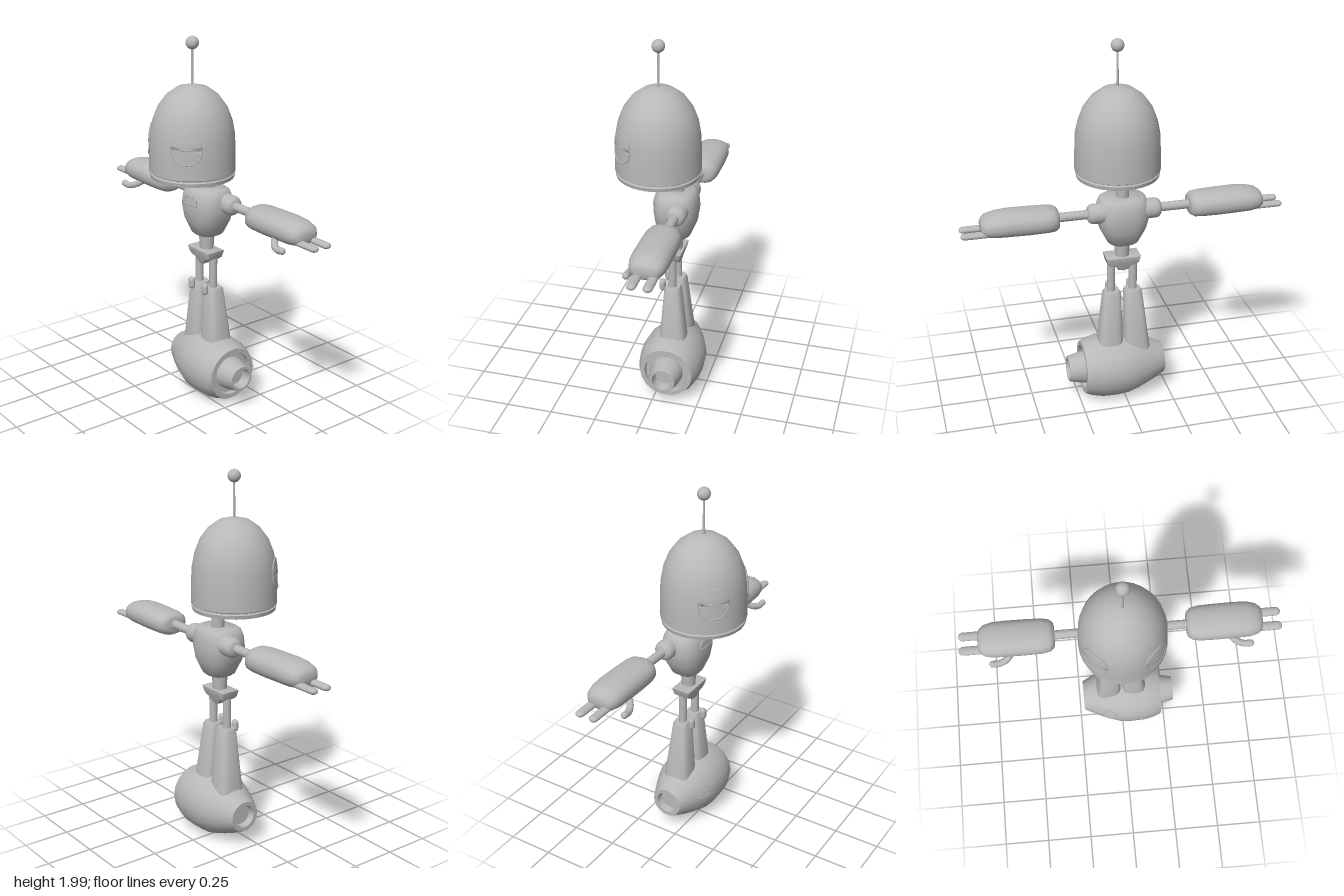
import * as THREE from 'three';
import { toCreasedNormals } from 'three/addons/utils/BufferGeometryUtils.js';

const V2 = (x, y) => new THREE.Vector2(x, y);
const V3 = (x, y, z) => new THREE.Vector3(x, y, z);

// linear lookup of a value along a list of rows; key and value are column indices
function lookup(rows, k, v, at) {
  for (let i = 1; i < rows.length; i++) {
    const a = rows[i - 1], b = rows[i];
    if (at >= a[k] && at <= b[k] && b[k] > a[k]) return a[v] + (b[v] - a[v]) * (at - a[k]) / (b[k] - a[k]);
  }
  return rows[rows.length - 1][v];
}

// indexed surface from a function and a grid of rows by columns
function meshFrom(pos, idx) {
  const g = new THREE.BufferGeometry();
  g.setAttribute('position', new THREE.Float32BufferAttribute(pos, 3));
  g.setIndex(idx);
  g.computeVertexNormals();
  return g;
}

// closed loft along y through superellipse sections [y, cx, cz, rx, rz]
function loft(sections, power = 2, n = 24) {
  const first = sections[0], last = sections[sections.length - 1];
  const rings = [[first[0], first[1], first[2], 0, 0], ...sections, [last[0], last[1], last[2], 0, 0]];
  const pos = [], idx = [];
  const bend = (v) => Math.sign(v) * Math.pow(Math.abs(v), 2 / power);
  rings.forEach(([y, cx, cz, rx, rz], j) => {
    for (let i = 0; i < n; i++) {
      const t = (i / n) * Math.PI * 2;
      pos.push(cx + rx * bend(Math.sin(t)), y, cz + rz * bend(Math.cos(t)));
      if (j === 0) continue;
      const a = (j - 1) * n + i, b = (j - 1) * n + (i + 1) % n;
      idx.push(a, b, a + n, b, b + n, a + n);
    }
  });
  return toCreasedNormals(meshFrom(pos, idx), 0.75);
}

// thin plate draped on a surface: rings shrinking from the outline to a centre
function patch(outline, centre, project) {
  const pos = [], idx = [], n = outline.length, steps = 4;
  for (let s = 0; s <= steps; s++) {
    outline.forEach((p, i) => {
      const q = centre.clone().lerp(p, s / steps);
      pos.push(...project(q.x, q.y).toArray());
      if (s === 0) return;
      const a = (s - 1) * n + i, b = (s - 1) * n + (i + 1) % n;
      idx.push(a, a + n, b, b, a + n, b + n);
    });
  }
  return meshFrom(pos, idx);
}

const rim = (outline, project, r) => new THREE.TubeGeometry(
  new THREE.CatmullRomCurve3(outline.map((p) => project(p.x, p.y)), true), 64, r, 6, true);

// polygon outline with extra points along each edge
function subdivide(corners) {
  return corners.flatMap((c, i) => [0, 0.25, 0.5, 0.75].map((t) =>
    V2(...c).lerp(V2(...corners[(i + 1) % corners.length]), t)));
}

export function createModel() {
  const model = new THREE.Group();
  model.name = 'robot';
  const grey = new THREE.MeshStandardMaterial({ color: 0xb8b8b8 });
  grey.name = 'grey';
  const add = (name, geo, x = 0, y = 0, z = 0) => {
    const m = new THREE.Mesh(geo, grey);
    m.name = name;
    m.position.set(x, y, z);
    model.add(m);
    return m;
  };
  const rod = (name, rTop, rBottom, y0, y1, x, z) =>
    add(name, new THREE.CylinderGeometry(rTop, rBottom, y1 - y0, 16), x, (y0 + y1) / 2, z);

  // head dome with a grooved lower band
  const headZ = 0.03;
  const head = [[0, 1.285], [0.19, 1.285], [0.2, 1.275], [0.218, 1.275], [0.222, 1.295], [0.216, 1.3],
    [0.216, 1.305], [0.225, 1.31], [0.224, 1.4], [0.219, 1.5], [0.206, 1.57], [0.179, 1.64],
    [0.135, 1.7], [0.08, 1.74], [0.03, 1.753], [0, 1.755]];
  add('head', toCreasedNormals(new THREE.LatheGeometry(head.map((p) => V2(...p)), 32), 0.6), 0, 0, headZ);

  // antenna
  rod('antennaRod', 0.005, 0.007, 1.74, 1.95, 0, headZ);
  add('antennaBall', new THREE.SphereGeometry(0.034, 20, 14), 0, 1.966, headZ);

  // eyes: rim, upper lid and lower half, wrapped around the head
  for (const s of [-1, 1]) {
    const onHead = (off) => (u, v) => {
      const r = lookup(head.slice(7), 1, 0, 1.47 + v) + off, a = s * Math.PI / 4 + u;
      return V3(r * Math.sin(a), 1.47 + v, headZ + r * Math.cos(a));
    };
    const arc = (from, to, n) => Array.from({ length: n + 1 }, (_, i) => {
      const t = from + (to - from) * i / n, c = Math.cos(t), k = Math.sin(t);
      return V2(0.35 * Math.sign(c) * Math.abs(c) ** 0.85, 0.078 * Math.sign(k) * Math.abs(k) ** 0.85);
    });
    add('eyeRim', rim(arc(0, Math.PI * 2, 32).slice(0, 32), onHead(0.002), 0.004));
    add('upperEyelid', patch(arc(0, Math.PI, 16), V2(0, 0), onHead(0.006)));
    add('lowerEye', patch(arc(Math.PI, Math.PI * 2, 16), V2(0, 0), onHead(0.003)));
    const line = [-0.34, -0.17, 0, 0.17, 0.34].map((u) => onHead(0.004)(u, 0));
    add('eyelidEdge', new THREE.TubeGeometry(new THREE.CatmullRomCurve3(line), 16, 0.004, 6));
  }

  // neck, torso and waist
  const bodyZ = -0.07;
  rod('neck', 0.034, 0.034, 1.18, 1.29, 0, -0.076);
  const torso = [[0.935, 0, bodyZ, 0.07, 0.066], [0.945, 0, bodyZ, 0.083, 0.077], [1.02, 0, bodyZ, 0.121, 0.108],
    [1.09, 0, bodyZ, 0.14, 0.117], [1.15, 0, bodyZ, 0.135, 0.111], [1.185, 0, bodyZ, 0.121, 0.098],
    [1.195, 0, bodyZ, 0.108, 0.085]];
  add('torso', loft(torso, 2.6, 32));
  rod('waist', 0.043, 0.036, 0.83, 0.945, 0, -0.065);

  // chest window
  const onChest = (off) => (x, y) => {
    const rx = lookup(torso, 0, 3, y), rz = lookup(torso, 0, 4, y);
    return V3(x, y, bodyZ + off + rz * (1 - Math.abs(x / rx) ** 2.6) ** (1 / 2.6));
  };
  const chest = subdivide([[-0.05, 1.115], [0.05, 1.115], [0.045, 1.145], [0.03, 1.155], [-0.03, 1.155], [-0.045, 1.145]]);
  add('chestWindow', patch(chest, V2(0, 1.135), onChest(0.003)));
  add('chestWindowRim', rim(chest, onChest(0.002), 0.004));

  // pelvis, narrowing in depth towards the bottom
  const pelvis = new THREE.ExtrudeGeometry(new THREE.Shape([[-0.084, 0.846], [-0.078, 0.82], [-0.066, 0.81],
    [-0.038, 0.805], [-0.022, 0.782], [0, 0.776], [0.022, 0.782], [0.038, 0.805], [0.066, 0.81],
    [0.078, 0.82], [0.084, 0.846]].map((p) => V2(...p))),
  { depth: 0.094, bevelThickness: 0.008, bevelSize: 0.008, bevelSegments: 2 });
  const pp = pelvis.attributes.position;
  for (let i = 0; i < pp.count; i++) {
    pp.setZ(i, (pp.getZ(i) - 0.047) * (0.62 + 0.38 * (pp.getY(i) - 0.768) / 0.086));
  }
  add('pelvis', toCreasedNormals(pelvis, 0.7), 0, 0, -0.06);

  for (const s of [-1, 1]) {
    // shoulder and arm, lofted along the arm
    const alongArm = (rows, power) => loft(rows.map(([x, dy, ry, rz]) => [x, -s * dy, 0, ry, rz]), power)
      .rotateZ(-s * Math.PI / 2);
    const armY = 1.125, armZ = -0.105;
    add('shoulder', alongArm([[0.1, 0, 0.053, 0.053], [0.165, 0, 0.053, 0.053], [0.18, 0, 0.049, 0.049],
      [0.19, 0, 0.04, 0.04], [0.195, 0, 0.028, 0.028]], 2), 0, armY, armZ);
    add('upperArm', new THREE.CylinderGeometry(0.024, 0.024, 0.22, 16).rotateZ(Math.PI / 2), s * 0.27, armY, armZ);
    add('forearm', alongArm([[0.345, 0, 0.038, 0.05], [0.35, 0, 0.05, 0.068], [0.37, 0, 0.061, 0.085],
      [0.41, 0.001, 0.064, 0.094], [0.5, 0.002, 0.066, 0.096], [0.6, 0.004, 0.066, 0.096], [0.67, 0.002, 0.062, 0.094],
      [0.715, 0, 0.053, 0.083], [0.737, -0.002, 0.04, 0.065], [0.745, -0.003, 0.025, 0.045]], 2.3), 0, armY, armZ);

    // two fingers and a curled thumb
    for (const z of [-0.148, -0.068]) {
      add('finger', new THREE.CapsuleGeometry(0.024, 0.13, 6, 14).rotateZ(Math.PI / 2).scale(1, 0.68, 1), s * 0.761, 1.094, z);
    }
    const thumb = [[0.57, 1.085, -0.05], [0.605, 1.06, -0.015], [0.645, 1.05, 0], [0.68, 1.055, 0.003]]
      .map(([x, y, z]) => V3(s * x, y, z));
    add('thumb', new THREE.TubeGeometry(new THREE.CatmullRomCurve3(thumb), 16, 0.018, 10));
    add('thumbTip', new THREE.SphereGeometry(0.018, 12, 10), s * 0.68, 1.055, 0.003);

    // leg: thigh rod, kneecap and tapered shin
    rod('thigh', 0.022, 0.022, 0.62, 0.83, s * 0.06, -0.063);
    add('kneecap', new THREE.CapsuleGeometry(0.021, 0.026, 6, 14).scale(1, 1, 0.8), s * 0.058, 0.642, -0.008);
    add('shin', loft([[0.24, s * 0.077, -0.078, 0.077, 0.085], [0.34, s * 0.072, -0.075, 0.069, 0.073],
      [0.63, s * 0.058, -0.067, 0.049, 0.045], [0.645, s * 0.058, -0.067, 0.042, 0.038]], 3.2));
  }

  // base pod lying along x, with a hole at one end and a hollow nozzle at the other
  const baseY = 0.185;
  const pod = [[0, -0.19], [0.055, -0.19], [0.062, -0.225], [0.085, -0.225], [0.127, -0.14], [0.152, -0.08],
    [0.171, -0.02], [0.177, 0.05], [0.174, 0.13], [0.16, 0.19], [0.145, 0.225], [0.12, 0.225], [0.117, 0.2],
    [0.09, 0.2], [0.088, 0.225], [0.07, 0.305], [0.056, 0.305], [0.05, 0.25], [0, 0.25]];
  add('basePod', toCreasedNormals(new THREE.LatheGeometry(pod.map((p) => V2(...p)), 18).rotateZ(-Math.PI / 2), 0.6),
    0, baseY, bodyZ);

  // small window on the front of the pod
  const onPod = (off) => (x, y) => {
    const r = lookup(pod.slice(3, 11), 1, 0, x) + off;
    return V3(x, y, bodyZ + Math.sqrt(r * r - (y - baseY) ** 2));
  };
  const window = subdivide([[-0.115, 0.192], [-0.035, 0.192], [-0.05, 0.246], [-0.06, 0.252], [-0.09, 0.252], [-0.1, 0.246]]);
  add('podWindow', patch(window, V2(-0.075, 0.22), onPod(0.003)));
  add('podWindowRim', rim(window, onPod(0.001), 0.004));

  return model;
}
